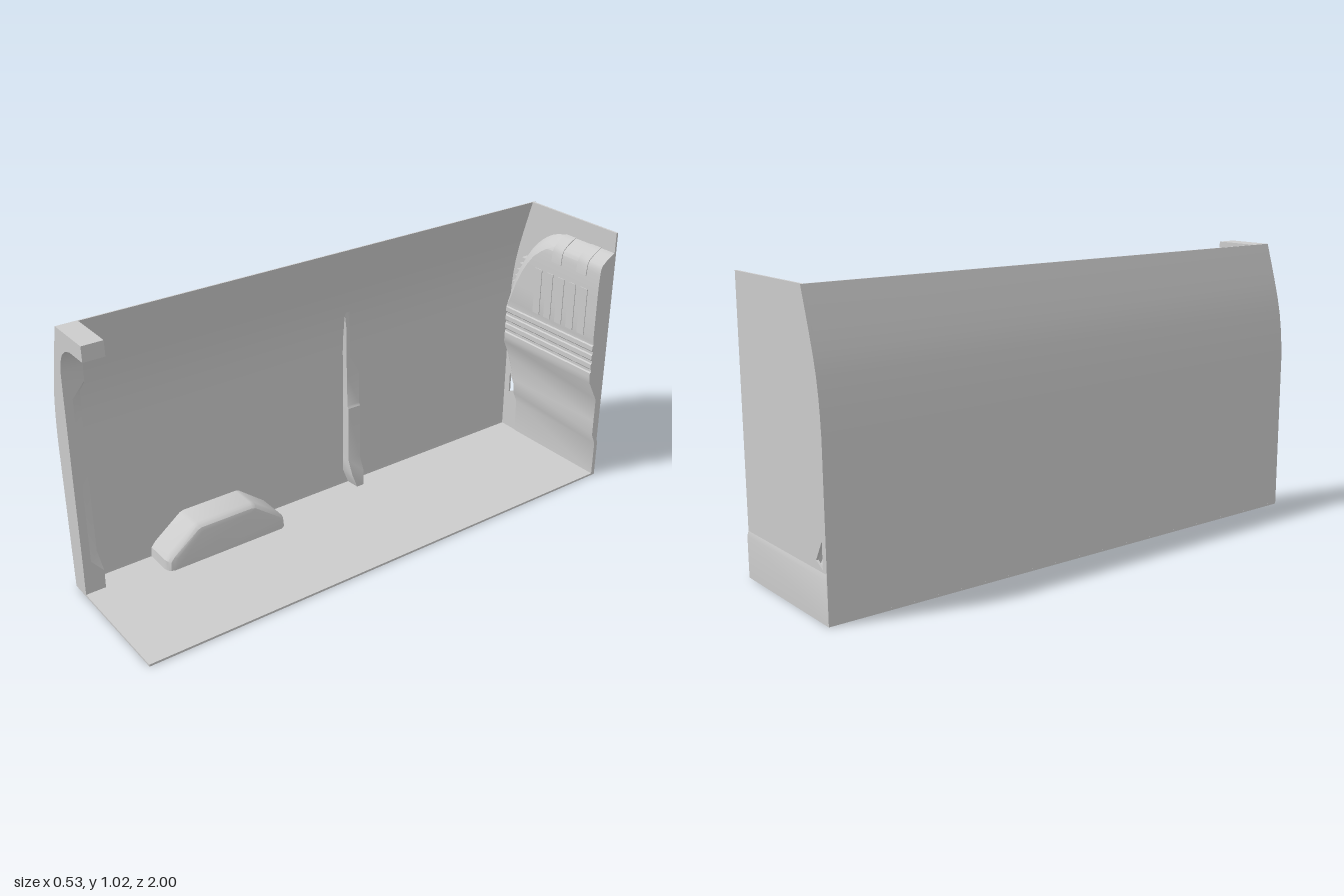
import * as THREE from 'three';
import { toCreasedNormals } from 'three/addons/utils/BufferGeometryUtils.js';

const material = new THREE.MeshStandardMaterial({ color: 0xcccccc, side: THREE.DoubleSide });

// Outer side profile as [y, x]
const SIDE = [[0, -0.268], [0.58, -0.267], [0.65, -0.263], [0.7, -0.258], [0.76, -0.249],
  [0.82, -0.235], [0.88, -0.218], [0.94, -0.2], [1.02, -0.175]];
const RIGHT = 0.266;

function wallX(y) {
  let i = 1;
  while (i < SIDE.length - 1 && SIDE[i][0] < y) i++;
  const [y0, x0] = SIDE[i - 1], [y1, x1] = SIDE[i];
  return x0 + (x1 - x0) * (y - y0) / (y1 - y0);
}

function addMesh(group, name, geometry, crease = 0.6) {
  const mesh = new THREE.Mesh(toCreasedNormals(geometry, crease), material);
  mesh.name = name;
  group.add(mesh);
  return mesh;
}

// Skin a list of closed rings and cap both ends
function loft(rings) {
  const n = rings[0].length, last = (rings.length - 1) * n, index = [];
  for (let r = 0; r < rings.length - 1; r++) {
    for (let i = 0; i < n; i++) {
      const a = r * n + i, b = r * n + (i + 1) % n;
      index.push(a, b, a + n, b, b + n, a + n);
    }
  }
  for (let i = 1; i < n - 1; i++) {
    index.push(0, i + 1, i, last, last + i, last + i + 1);
  }
  const g = new THREE.BufferGeometry();
  g.setAttribute('position', new THREE.Float32BufferAttribute(rings.flat(2), 3));
  g.setIndex(index);
  return g;
}

function extrude(shape, z, depth) {
  return new THREE.ExtrudeGeometry(shape, { depth, bevelEnabled: false }).translate(0, 0, z);
}

function box(group, name, x0, x1, y0, y1, z0, z1) {
  const g = new THREE.BoxGeometry(x1 - x0, y1 - y0, z1 - z0);
  return addMesh(group, name, g.translate((x0 + x1) / 2, (y0 + y1) / 2, (z0 + z1) / 2));
}

export function createModel() {
  const model = new THREE.Group();
  model.name = 'cargoBayHalf';

  box(model, 'floor', -0.268, RIGHT, 0, 0.008, -1, 1);

  // Curved side wall, a thin sheet
  const outer = SIDE.map(([y, x]) => new THREE.Vector2(x, y));
  const inner = SIDE.map(([y, x]) => new THREE.Vector2(x + 0.005, y)).reverse();
  addMesh(model, 'sideWall', extrude(new THREE.Shape([...outer, ...inner]), -1, 2));

  // End bulkhead with a small triangular opening low in the corner
  const plate = new THREE.Shape([...outer, new THREE.Vector2(RIGHT, 1.02), new THREE.Vector2(RIGHT, 0)]);
  plate.holes.push(new THREE.Path([
    new THREE.Vector2(-0.235, 0.26), new THREE.Vector2(-0.235, 0.17), new THREE.Vector2(-0.195, 0.19)]));
  addMesh(model, 'bulkheadPlate', extrude(plate, -0.995, 0.008));

  // Slightly thicker lower skirt on the outside of the bulkhead
  addMesh(model, 'bulkheadSkirt', loft([[0, -1], [0.145, -1], [0.165, -0.994]].map(([y, z]) =>
    [[-0.267, y, -0.99], [RIGHT, y, -0.99], [RIGHT, y, z], [-0.267, y, z]])));

  // Pressed bulkhead panel, rows of [y, left edge, shoulder, front z]
  const rows = [[0.008, -0.185, -0.18, -0.984], [0.145, -0.187, -0.182, -0.984],
    [0.19, -0.19, -0.185, -0.966], [0.25, -0.2, -0.19, -0.966], [0.345, -0.245, -0.225, -0.966],
    [0.43, -0.245, -0.215, -0.922]];
  // shallow horizontal corrugations
  for (let i = 0; i < 4; i++) {
    const y = 0.455 + i * 0.037;
    rows.push([y, -0.242, -0.21, -0.918], [y + 0.018, -0.242, -0.21, -0.918],
      [y + 0.022, -0.242, -0.21, -0.923], [y + 0.032, -0.242, -0.21, -0.923]);
  }
  rows.push([0.62, -0.235, -0.195, -0.919], [0.7, -0.218, -0.165, -0.919], [0.76, -0.196, -0.135, -0.919],
    [0.8, -0.176, -0.11, -0.919], [0.84, -0.15, -0.08, -0.92], [0.87, -0.122, -0.045, -0.922],
    [0.89, -0.1, -0.015, -0.924], [0.905, -0.08, 0.015, -0.93], [0.922, -0.052, 0.03, -0.95],
    [0.934, -0.022, 0.04, -0.97], [0.943, 0.02, 0.06, -0.987]);
  addMesh(model, 'bulkheadPanel', loft(rows.map(([y, xl, xs, z]) => {
    const mid = 0.7 * z - 0.3 * 0.987;
    return [[xl, y, -0.988], [xl + (xs - xl) * 0.45, y, mid], [xs, y, z], [RIGHT, y, z], [RIGHT, y, -0.988]];
  })), 0.5);

  // Upright ribs on the panel
  for (let i = 0; i < 5; i++) {
    const x = -0.06 + i * 0.06;
    box(model, 'panelRib', x, x + 0.035, 0.615, 0.8, -0.93, -0.916);
  }
  // Raised pads that run over the panel's top shoulder
  const padRows = [[0.85, -0.917], [0.89, -0.921], [0.907, -0.928], [0.924, -0.948], [0.936, -0.968], [0.945, -0.987]];
  for (const x of [0.02, 0.15]) {
    addMesh(model, 'shoulderPad', loft(padRows.map(([y, z]) =>
      [[x, y, -0.988], [x, y, z], [x + 0.05, y, z], [x + 0.05, y, -0.988]])));
  }
  // Side steps along the curved edge of the panel
  for (let i = 0; i < 5; i++) {
    const y = 0.68 + i * 0.028;
    box(model, 'edgeStep', -0.205 + i * 0.011, -0.12 + i * 0.012, y, y + 0.016, -0.985, -0.938);
  }

  // Door pillar and roof arm: rows of [inner x, inner y, outer x, outer y, chamfer]
  const pillar = [[-0.19, 0, 0, 0, 0], [-0.188, 0.08, 0, 0.08, 0], [-0.186, 0.135, 0, 0.135, 1],
    [-0.182, 0.45, 0, 0.45, 1], [-0.178, 0.65, 0, 0.65, 1], [-0.176, 0.76, 0, 0.76, 1],
    [-0.175, 0.81, 0, 0.82, 0], [-0.173, 0.865, 0, 0.88, 0], [-0.165, 0.9, 0, 0.94, 0],
    [-0.148, 0.932, -0.175, 1.02, 0], [-0.12, 0.955, -0.13, 1.02, 0],
    [-0.085, 0.966, -0.085, 1.02, 0], [0.005, 0.966, 0.005, 1.02, 0]];
  addMesh(model, 'doorPillar', loft(pillar.map(([xi, yi, xo, yo, c]) => {
    const ox = xo === 0 ? wallX(yo) : xo, t = 0.6 * c;
    return [[ox, yo, 1], [xi, yi, 1], [xi, yi, 0.928 + 0.042 * c],
      [xi + (ox - xi) * t, yi + (yo - yi) * t, 0.925], [ox, yo, 0.925]];
  })));

  // Wheel arch with a rounded inner edge
  const arch = [[0.71, 0], [0.706, 0.045], [0.69, 0.065], [0.585, 0.147], [0.57, 0.152],
    [0.35, 0.152], [0.335, 0.147], [0.23, 0.065], [0.214, 0.045], [0.21, 0]];
  const archRings = [[-0.267, 0], [-0.165, 0], [-0.15, 0.004], [-0.14, 0.012], [-0.135, 0.026]];
  addMesh(model, 'wheelArch', loft(archRings.map(([x, inset]) => arch.map(([z, y]) =>
    [x, y * (1 - inset / 0.152), 0.46 + (z - 0.46) * (1 - inset / 0.25)]))), 0.5);

  // Wall stiffener, rows of [y, front z, back z, depth]
  const stiffener = [[0.005, -0.165, -0.205, 0.06], [0.07, -0.14, -0.205, 0.06], [0.125, -0.14, -0.205, 0.035],
    [0.35, -0.14, -0.205, 0.035], [0.36, -0.14, -0.205, 0.028], [0.49, -0.14, -0.205, 0.026],
    [0.56, -0.14, -0.168, 0.022], [0.68, -0.14, -0.165, 0.016], [0.75, -0.14, -0.165, 0.004]];
  addMesh(model, 'wallStiffener', loft(stiffener.map(([y, z0, z1, d]) => {
    const x = wallX(y);
    return [[x + 0.002, y, z0], [x + d, y, z0 - 0.005], [x + d, y, z1 + 0.005], [x + 0.002, y, z1]];
  })));

  return model;
}
